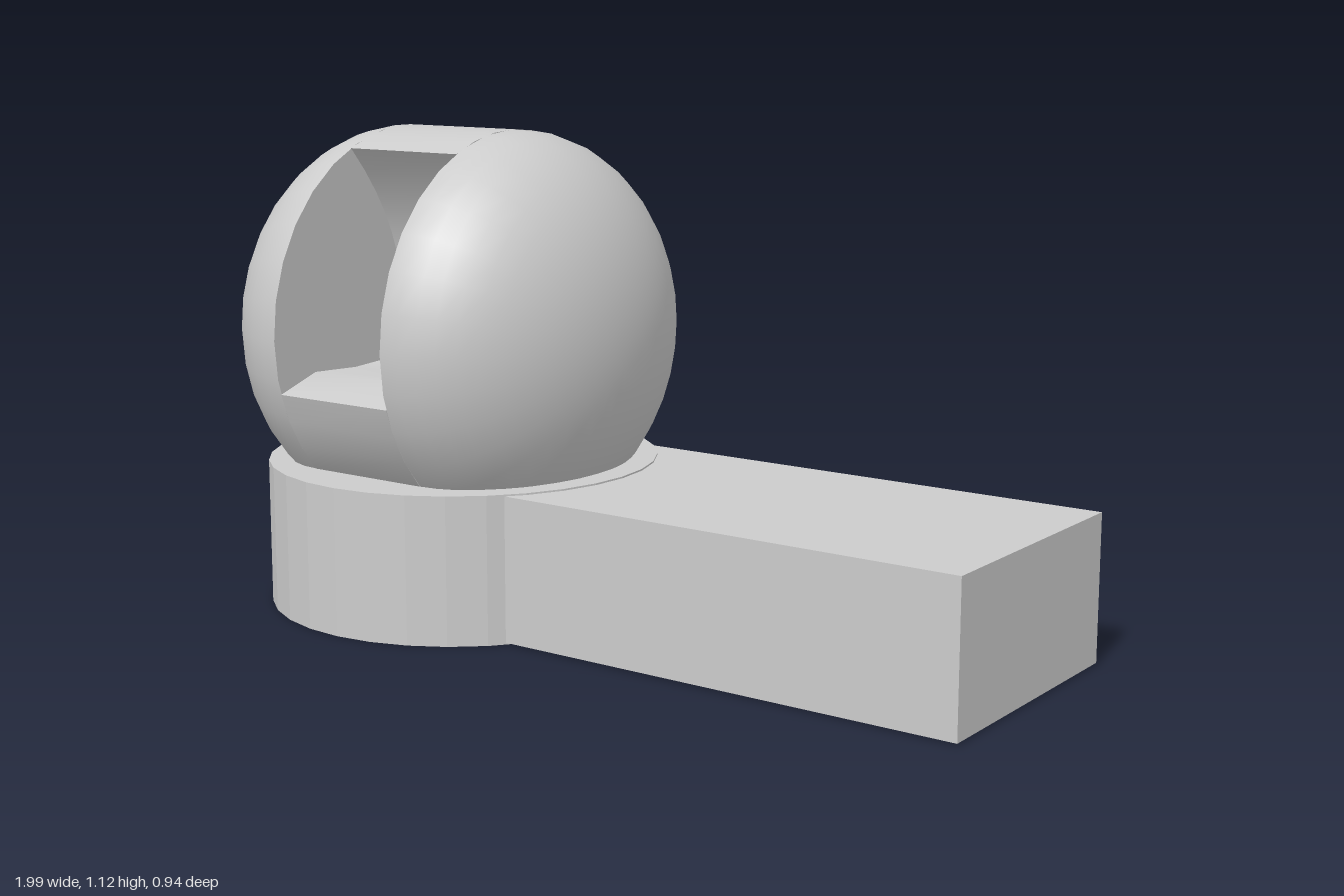
import * as THREE from 'three';
import { toCreasedNormals } from 'three/addons/utils/BufferGeometryUtils.js';

const grey = new THREE.MeshStandardMaterial({ color: 0xcccccc });
const facet = new THREE.MeshStandardMaterial({ color: 0xcccccc, flatShading: true });

function add(parent, name, geometry, material = grey) {
  const mesh = new THREE.Mesh(geometry, material);
  mesh.name = name;
  parent.add(mesh);
  return mesh;
}

export function createModel() {
  const model = new THREE.Group();
  const R = 0.465, SLOT = 0.32, CAP = 0.332;

  // Round base with a long slab reaching to the side
  const base = add(model, 'roundBase', new THREE.CylinderGeometry(R, R, 0.344, 32), facet);
  base.position.set(-0.505, 0.172, 0);
  const slab = add(model, 'slab', new THREE.BoxGeometry(1.35, 0.336, 0.64));
  slab.position.set(0.312, 0.172, -0.012);
  slab.rotation.y = -0.023;

  // Head: a drum lying along x between two half ellipsoids
  const head = new THREE.Group();
  head.name = 'head';
  head.position.set(-0.507, 0.66, 0);
  head.rotation.y = -0.02;
  model.add(head);

  // Drum outline in (-z, y): the rim, then the recess cut into the front
  const lower = Math.atan2(-0.125, 0.448), upper = Math.atan2(0.42, 0.2);
  const outline = [];
  for (let i = 0; i <= 32; i++) {
    const a = upper + (i / 32) * (2 * Math.PI + lower - upper);
    outline.push(new THREE.Vector2(-R * Math.cos(a), R * Math.sin(a)));
  }
  const recess = [[0.335, -0.088], [0.2, -0.095], [0.1, -0.09]];
  for (const [z, y] of recess) outline.push(new THREE.Vector2(-z, y));
  const back = new THREE.QuadraticBezierCurve(
    new THREE.Vector2(-0.06, -0.08), new THREE.Vector2(0.03, 0.16), new THREE.Vector2(-0.195, 0.415));
  outline.push(...back.getPoints(10));

  let drum = new THREE.ExtrudeGeometry(new THREE.Shape(outline), { depth: SLOT, bevelEnabled: false });
  drum.translate(0, 0, -SLOT / 2);
  drum.rotateY(Math.PI / 2);
  add(head, 'drum', toCreasedNormals(drum, 0.4));

  // Side caps, each with a flat inner wall that closes the recess
  for (const turn of [0, Math.PI]) {
    const side = new THREE.Group();
    side.name = turn ? 'rightCap' : 'leftCap';
    side.rotation.y = turn;
    head.add(side);
    const dome = new THREE.SphereGeometry(R, 32, 12, 0, Math.PI * 2, 0, Math.PI / 2);
    dome.rotateZ(-Math.PI / 2);
    dome.scale(CAP / R, 1, 1);
    add(side, 'dome', dome).position.x = SLOT / 2;
    const wall = new THREE.CircleGeometry(R, 32);
    wall.rotateY(-Math.PI / 2);
    add(side, 'innerWall', wall).position.x = SLOT / 2;
  }

  // Oval eye ring with a slim upright pupil, set in the recess
  const eye = new THREE.Group();
  eye.name = 'eye';
  eye.position.set(0.002, 0.018, 0.055);
  head.add(eye);
  const ring = add(eye, 'eyeRing', new THREE.TorusGeometry(0.123, 0.008, 8, 32));
  ring.scale.y = 0.62;
  const disc = new THREE.CylinderGeometry(0.12, 0.12, 0.03, 32);
  disc.rotateX(Math.PI / 2);
  const plate = add(eye, 'eyePlate', disc);
  plate.scale.y = 0.62;
  plate.position.z = -0.015;
  const pupil = add(eye, 'pupil', new THREE.CapsuleGeometry(0.018, 0.036, 6, 16));
  pupil.position.z = 0.005;

  return model;
}
